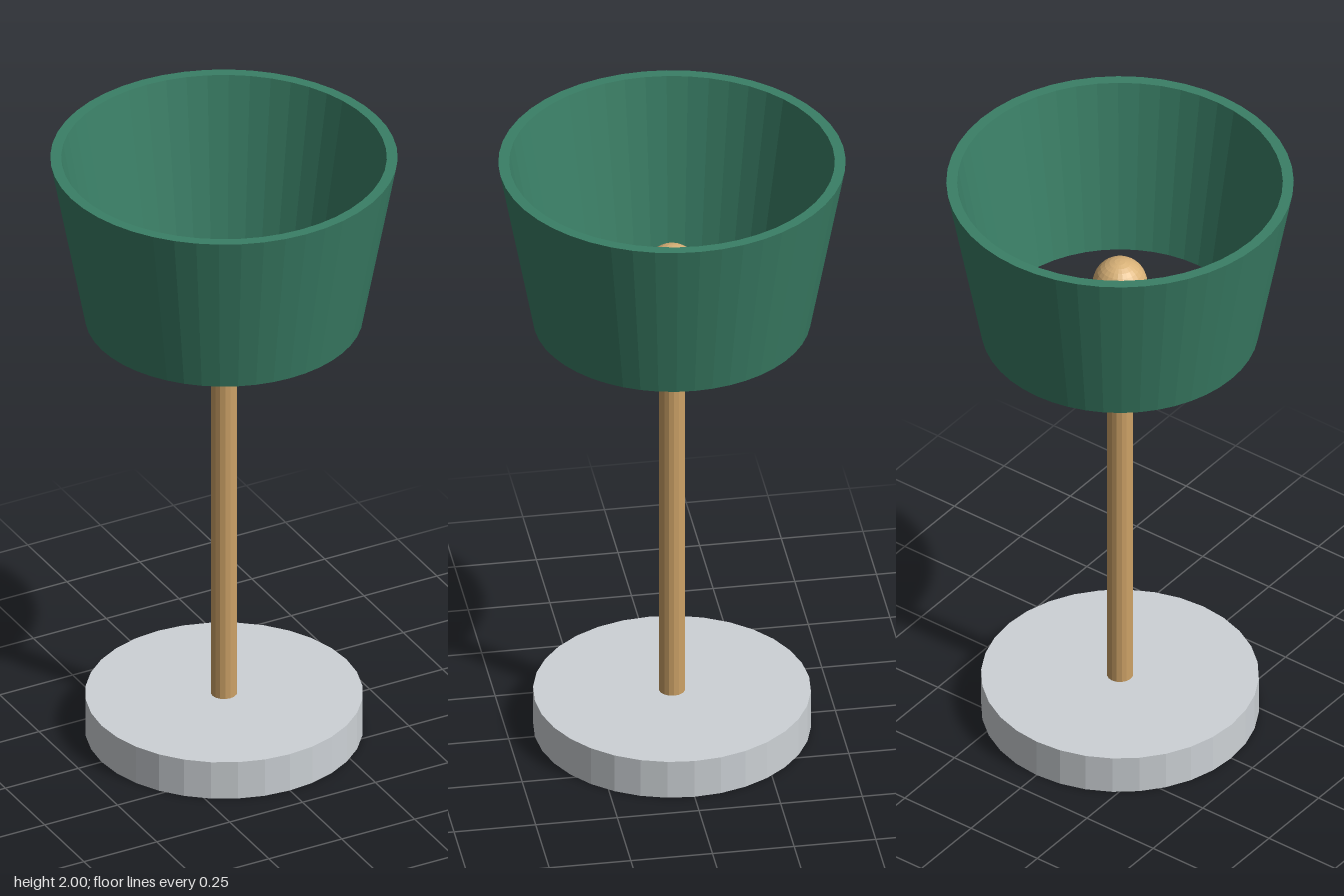
import * as THREE from 'three';

function material(name, color) {
  const m = new THREE.MeshStandardMaterial({ color, flatShading: true });
  m.name = name;
  return m;
}

export function createModel() {
  const lamp = new THREE.Group();
  lamp.name = 'tableLamp';
  const grey = material('pale grey', 0xcdd2d6);
  const wood = material('warm wood', 0xcda267);
  const glow = material('amber', 0xd9b278);
  const green = material('deep green', 0x3a7f66);

  function add(name, geometry, mat, y = 0) {
    const mesh = new THREE.Mesh(geometry, mat);
    mesh.name = name;
    mesh.position.y = y;
    lamp.add(mesh);
  }

  // Round foot and slim pole
  add('base', new THREE.CylinderGeometry(0.42, 0.42, 0.127, 32), grey, 0.0635);
  add('pole', new THREE.CylinderGeometry(0.04, 0.04, 1.313, 16), wood, 0.7835);

  // Bulb floating inside the shade
  add('bulb', new THREE.SphereGeometry(0.083, 24, 16), glow, 1.615);

  // Open shade with wall thickness: a closed ring profile, outside first
  const profile = [
    [0.393, 1.442], [0.42, 1.442], [0.525, 2], [0.492, 2], [0.393, 1.442],
  ].map(([r, y]) => new THREE.Vector2(r, y));
  add('shade', new THREE.LatheGeometry(profile, 48), green);

  return lamp;
}
